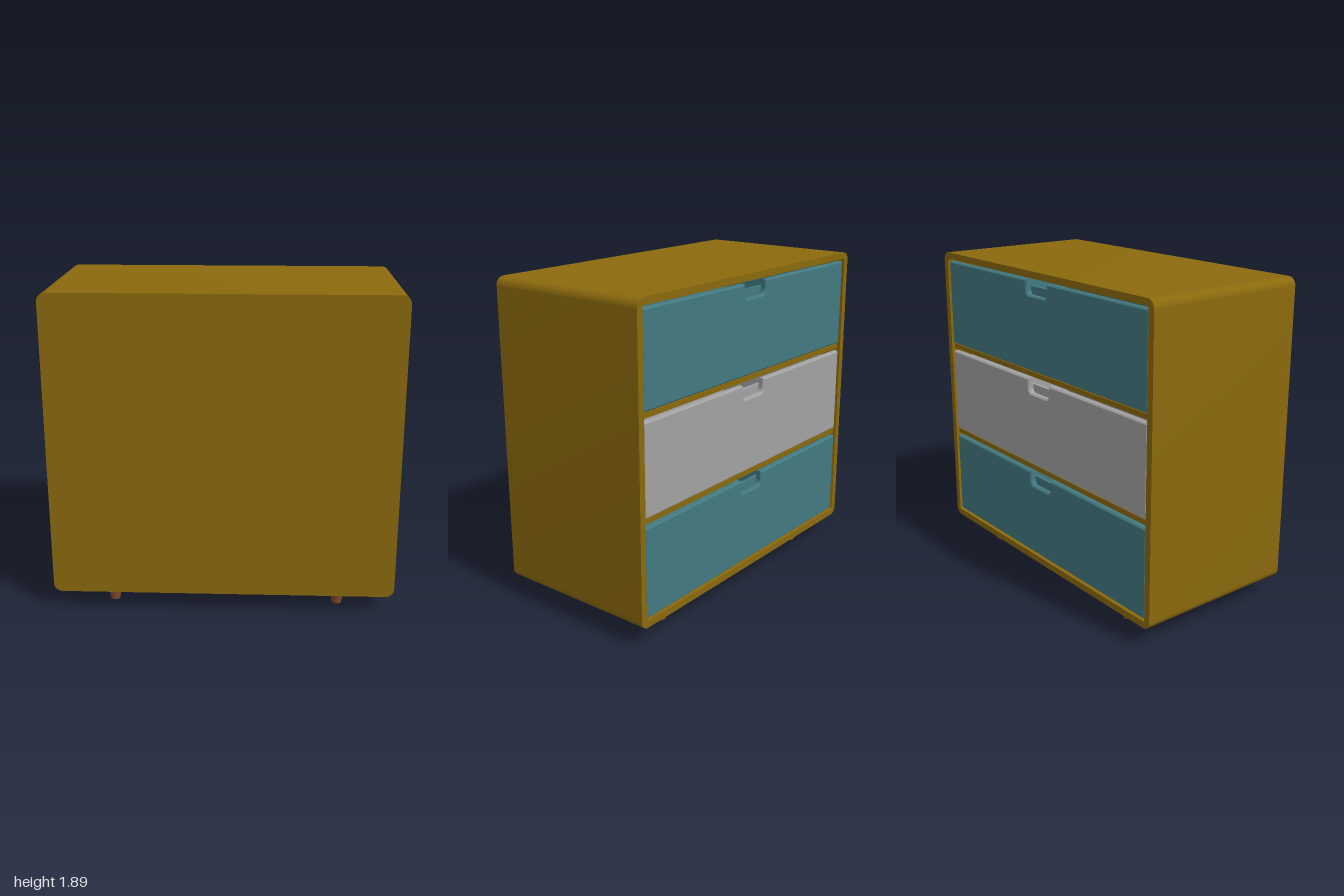
import * as THREE from 'three';
import { toCreasedNormals } from 'three/addons/utils/BufferGeometryUtils.js';

const W = 2, DEPTH = 1, BOTTOM = 0.113, TOP = 1.89;
const WALL = 0.04, BACK = 0.03, SHELF = 0.03, DRAWERS = 3;

const material = (color) => new THREE.MeshStandardMaterial({ color });

function roundedRect(path, w, y0, y1, r) {
  const x = w / 2;
  path.moveTo(-x + r, y0);
  path.lineTo(x - r, y0);
  path.absarc(x - r, y0 + r, r, -Math.PI / 2, 0, false);
  path.lineTo(x, y1 - r);
  path.absarc(x - r, y1 - r, r, 0, Math.PI / 2, false);
  path.lineTo(-x + r, y1);
  path.absarc(-x + r, y1 - r, r, Math.PI / 2, Math.PI, false);
  path.lineTo(-x, y0 + r);
  path.absarc(-x + r, y0 + r, r, Math.PI, Math.PI * 1.5, false);
  return path;
}

function extrude(shape, depth, bevel = 0) {
  const geometry = new THREE.ExtrudeGeometry(shape, {
    depth: depth - 2 * bevel, curveSegments: 10, bevelEnabled: bevel > 0,
    bevelSize: bevel, bevelThickness: bevel, bevelOffset: -bevel, bevelSegments: 1,
  });
  geometry.translate(0, 0, bevel);
  return toCreasedNormals(geometry, 0.4);
}

function addMesh(parent, name, geometry, mat, x = 0, y = 0, z = 0) {
  const mesh = new THREE.Mesh(geometry, mat);
  mesh.name = name;
  mesh.position.set(x, y, z);
  parent.add(mesh);
  return mesh;
}

// Drawer front: a panel with a rounded finger notch cut into its top edge
function drawerFrontShape(w, h) {
  const x = w / 2, n = 0.1, d = 0.085, r = 0.03;
  const s = new THREE.Shape();
  s.moveTo(-x, 0);
  s.lineTo(x, 0);
  s.lineTo(x, h);
  s.lineTo(n, h);
  s.lineTo(n, h - d + r);
  s.absarc(n - r, h - d + r, r, 0, -Math.PI / 2, true);
  s.lineTo(-n + r, h - d);
  s.absarc(-n + r, h - d + r, r, -Math.PI / 2, -Math.PI, true);
  s.lineTo(-n, h);
  s.lineTo(-x, h);
  s.closePath();
  return s;
}

// Open drawer box behind a notched front; its front faces +z
function createDrawer(w, h, mat) {
  const drawer = new THREE.Group();
  const thick = 0.04, t = 0.02, length = 0.86, boxH = h - 0.05;
  addMesh(drawer, 'drawerFront', extrude(drawerFrontShape(w, h), thick, 0.008), mat, 0, 0, -thick);
  const mid = -thick - length / 2;
  addMesh(drawer, 'drawerFloor', new THREE.BoxGeometry(w - 0.04, t, length), mat, 0, 0.02, mid);
  for (const side of [-1, 1]) {
    addMesh(drawer, 'drawerSide', new THREE.BoxGeometry(t, boxH, length), mat,
      side * (w / 2 - 0.03), 0.01 + boxH / 2, mid);
    // Inner front and back walls
    addMesh(drawer, 'drawerEnd', new THREE.BoxGeometry(w - 0.04, boxH, t), mat,
      0, 0.01 + boxH / 2, mid + side * (length - t) / 2);
  }
  return drawer;
}

export function createModel() {
  const model = new THREE.Group();
  model.name = 'chestOfDrawers';
  const wood = material(0x8b690d);
  const legWood = material(0x874f2f);
  const teal = material(0x427980);
  const grey = material(0xa2a2a2);

  // The cabinet is built opening towards +z, then turned so the drawers face -z
  const cabinet = new THREE.Group();
  cabinet.name = 'cabinet';
  cabinet.rotation.y = Math.PI;
  model.add(cabinet);

  // Rounded outer shell and closed panel
  const outline = () => roundedRect(new THREE.Shape(), W, BOTTOM, TOP, 0.05);
  const ring = outline();
  ring.holes.push(roundedRect(new THREE.Path(), W - 2 * WALL, BOTTOM + WALL, TOP - WALL, 0.012));
  addMesh(cabinet, 'shell', extrude(ring, DEPTH - BACK), wood, 0, 0, -DEPTH / 2 + BACK);
  addMesh(cabinet, 'closedPanel', extrude(outline(), BACK), wood, 0, 0, -DEPTH / 2);

  // Drawers and the slightly recessed shelves between them
  const innerW = W - 2 * WALL;
  const cell = (TOP - BOTTOM - 2 * WALL - (DRAWERS - 1) * SHELF) / DRAWERS;
  for (let i = 0; i < DRAWERS; i++) {
    const y = BOTTOM + WALL + i * (cell + SHELF);
    const drawer = createDrawer(innerW - 0.012, cell - 0.022, i % 2 ? grey : teal);
    drawer.name = 'drawer' + (i + 1);
    drawer.position.set(0, y + 0.006, DEPTH / 2 - 0.008);
    cabinet.add(drawer);
    if (i < DRAWERS - 1) {
      addMesh(cabinet, 'shelf', new THREE.BoxGeometry(innerW, SHELF, DEPTH - BACK - 0.02), wood,
        0, y + cell + SHELF / 2, BACK / 2 - 0.01);
    }
  }

  // Tapered round legs
  const legGeometry = new THREE.CylinderGeometry(0.05, 0.027, BOTTOM, 24);
  for (const x of [-0.66, 0.68]) {
    for (const z of [-0.36, 0.355]) {
      addMesh(model, 'leg', legGeometry, legWood, x, BOTTOM / 2, z);
    }
  }
  return model;
}
